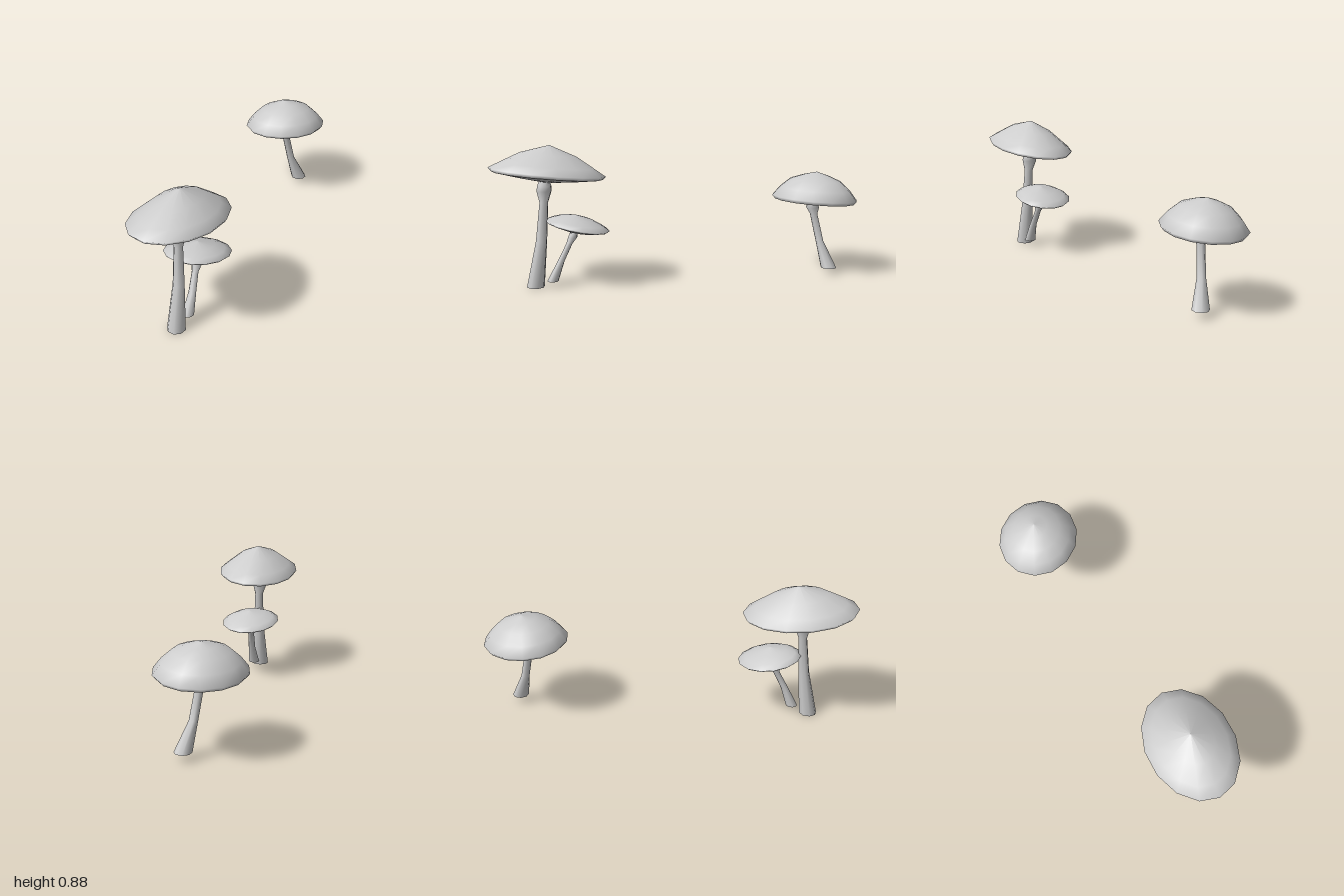
import * as THREE from 'three';

const material = new THREE.MeshStandardMaterial({ color: 0xcccccc, side: THREE.DoubleSide });

// Joins rings of points, bottom to top (angles run from +x towards +z)
function loft(rings) {
  const n = rings[0].length, index = [];
  for (let r = 0; r < rings.length - 1; r++) {
    for (let i = 0; i < n; i++) {
      const a = r * n + i, b = r * n + (i + 1) % n;
      index.push(a, a + n, b, b, a + n, b + n);
    }
  }
  const g = new THREE.BufferGeometry();
  g.setAttribute('position', new THREE.Float32BufferAttribute(rings.flat(2), 3));
  g.setIndex(index);
  g.computeVertexNormals();
  return g;
}

function ring(n, point) {
  return Array.from({ length: n }, (_, i) => point(i / n * Math.PI * 2));
}

function mesh(name, geometry) {
  const m = new THREE.Mesh(geometry, material);
  m.name = name;
  return m;
}

// Elliptical cap with a tilted rim; profile rows are [radius fraction, height above rim]
function cap({ center, radii, turn = 0, slope, apex, top, under }) {
  const [cx, cy, cz] = center;
  const section = ([k, h]) => ring(14, (t) => {
    const u = radii[0] * Math.cos(t), v = radii[1] * Math.sin(t);
    const x = k * (u * Math.cos(turn) - v * Math.sin(turn));
    const z = k * (u * Math.sin(turn) + v * Math.cos(turn));
    // inner rings drift towards the apex
    const drift = h > 0 ? 1 - k : 0;
    return [
      cx + x + drift * (apex[0] - cx),
      cy + h + x * slope[0] + z * slope[1],
      cz + z + drift * (apex[1] - cz),
    ];
  });
  const g = new THREE.Group();
  g.name = 'cap';
  g.add(mesh('capTop', loft(top.map(section))), mesh('capUnderside', loft(under.map(section))));
  return g;
}

// Stem rows are [x, y, z, radius]
function stem(rows) {
  const section = ([x, y, z, r]) => ring(8, (t) => [x + r * Math.cos(t), y, z + r * Math.sin(t)]);
  const [x, y, z] = rows[0];
  const g = new THREE.Group();
  g.name = 'stem';
  g.add(
    mesh('stemShaft', loft(rows.map(section))),
    mesh('stemBase', loft([[x, y, z, 0.0001], rows[0]].map(section))),
  );
  return g;
}

const mushrooms = {
  tallMushroom: {
    cap: {
      center: [-0.665, 0.725, 0.485], radii: [0.355, 0.26], turn: -0.508,
      slope: [-0.051, 0.107], apex: [-0.65, 0.475],
      top: [[0.95, -0.02], [1, 0], [0.8, 0.042], [0.48, 0.108], [0.0001, 0.165]],
      under: [[0.0001, -0.067], [0.5, -0.045], [0.95, -0.02]],
    },
    stem: [
      [-0.737, 0.01, 0.537, 0.056], [-0.7, 0.3, 0.515, 0.035], [-0.685, 0.54, 0.5, 0.027],
      [-0.685, 0.61, 0.493, 0.047], [-0.683, 0.64, 0.493, 0.044], [-0.683, 0.672, 0.493, 0.033],
    ],
  },
  smallMushroom: {
    cap: {
      center: [-0.51, 0.393, 0.402], radii: [0.203, 0.183],
      slope: [-0.15, 0.11], apex: [-0.51, 0.41],
      top: [[0.93, -0.012], [1, 0], [0.8, 0.022], [0.5, 0.047], [0.0001, 0.067]],
      under: [[0.0001, -0.047], [0.5, -0.035], [0.93, -0.012]],
    },
    stem: [
      [-0.637, 0.048, 0.497, 0.036], [-0.592, 0.17, 0.473, 0.023], [-0.55, 0.28, 0.437, 0.02],
      [-0.532, 0.32, 0.425, 0.03], [-0.527, 0.35, 0.42, 0.024],
    ],
  },
  loneMushroom: {
    cap: {
      center: [0.722, 0.503, -0.515], radii: [0.277, 0.255],
      slope: [-0.035, 0.08], apex: [0.73, -0.53],
      top: [[0.93, -0.022], [1, 0], [0.83, 0.058], [0.6, 0.114], [0.3, 0.145], [0.0001, 0.167]],
      under: [[0.0001, -0.03], [0.5, -0.027], [0.93, -0.022]],
    },
    stem: [
      [0.837, 0.055, -0.49, 0.052], [0.768, 0.225, -0.5, 0.026], [0.724, 0.4, -0.5, 0.025],
      [0.716, 0.44, -0.5, 0.043], [0.715, 0.482, -0.5, 0.036],
    ],
  },
};

export function createModel() {
  const model = new THREE.Group();
  model.name = 'mushrooms';
  for (const [name, parts] of Object.entries(mushrooms)) {
    const g = new THREE.Group();
    g.name = name;
    g.add(stem(parts.stem), cap(parts.cap));
    model.add(g);
  }
  // Rest on the ground
  model.position.y = -0.01;
  return model;
}
